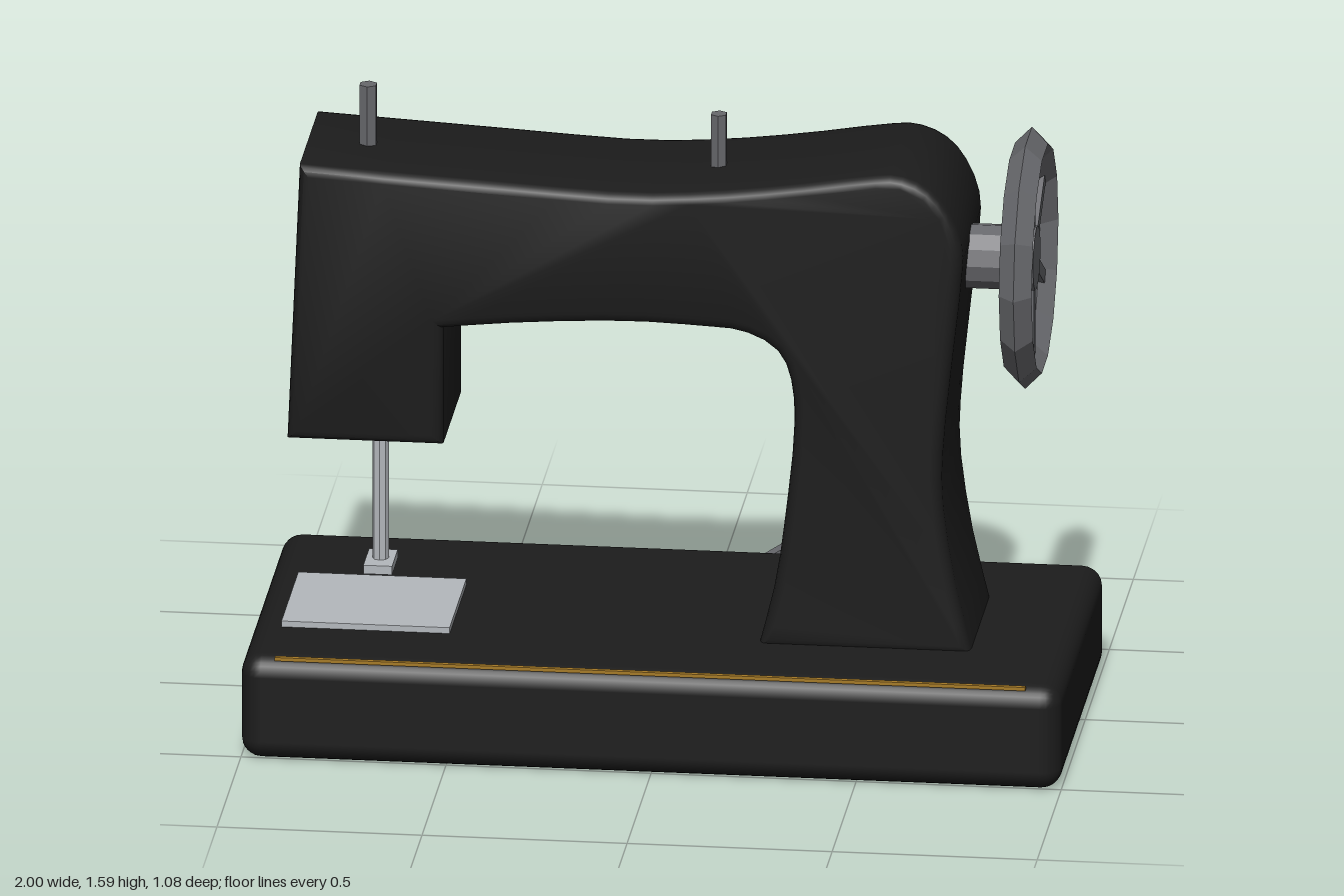
import * as THREE from 'three';
import { toCreasedNormals } from 'three/addons/utils/BufferGeometryUtils.js';
import { RoundedBoxGeometry } from 'three/addons/geometries/RoundedBoxGeometry.js';

const MID_Z = 0.07;

function makeMaterial(name, color, flat = false) {
  const m = new THREE.MeshStandardMaterial({ color, flatShading: flat });
  m.name = name;
  return m;
}

export function createModel() {
  const root = new THREE.Group();
  root.name = 'sewingMachine';
  const black = makeMaterial('blackEnamel', 0x1c1c1c);
  const iron = makeMaterial('greyIron', 0x68696d, true);
  const steel = makeMaterial('paleSteel', 0xb4b8bd, true);
  const gold = makeMaterial('goldTrim', 0xa67a26);

  const add = (name, geometry, material, x = 0, y = 0, z = 0, parent = root) => {
    const mesh = new THREE.Mesh(geometry, material);
    mesh.name = name;
    mesh.position.set(x, y, z);
    parent.add(mesh);
    return mesh;
  };
  const rod = (name, material, x, y0, y1, r, sides = 6) =>
    add(name, new THREE.CylinderGeometry(r, r, y1 - y0, sides), material, x, (y0 + y1) / 2, MID_Z);

  // Base slab with softened edges, and the gold line along its front
  add('base', new RoundedBoxGeometry(2, 0.265, 0.93, 3, 0.05), black, 0, 0.1325, 0.065);
  add('goldLine', new THREE.BoxGeometry(1.83, 0.009, 0.012), gold, 0, 0.2635, 0.517);

  // Body: head, arm and pillar in one side profile
  const vec = (pts) => pts.map(([x, y]) => new THREE.Vector2(x, y));
  const profile = new THREE.Shape();
  profile.moveTo(-0.885, 1.445);
  profile.lineTo(-0.915, 0.74);
  profile.lineTo(-0.535, 0.74);
  profile.lineTo(-0.535, 1.04);
  profile.splineThru(vec([[-0.35, 1.06], [-0.1, 1.075], [0.1, 1.07], [0.2, 1.06], [0.28, 1.015],
    [0.315, 0.93], [0.32, 0.8], [0.3, 0.6], [0.275, 0.42], [0.235, 0.255]]));
  profile.lineTo(0.755, 0.255);
  profile.splineThru(vec([[0.71, 0.45], [0.682, 0.65], [0.685, 0.8], [0.705, 1.0], [0.727, 1.2],
    [0.73, 1.3], [0.7, 1.385], [0.65, 1.445], [0.58, 1.475], [0.5, 1.472], [0.3, 1.44],
    [0.1, 1.416], [-0.1, 1.406], [-0.4, 1.42], [-0.885, 1.445]]));
  const bevel = 0.025;
  const bodyGeometry = new THREE.ExtrudeGeometry(profile, {
    depth: 0.42 - 2 * bevel, curveSegments: 2, bevelEnabled: true,
    bevelThickness: bevel, bevelSize: bevel, bevelOffset: -bevel, bevelSegments: 3,
  });
  bodyGeometry.translate(0, 0, -0.14 + bevel);
  add('body', toCreasedNormals(bodyGeometry, 0.7), black);

  // Hand wheel: diamond-section rim, six spokes and a hub
  const wheel = new THREE.Group();
  wheel.name = 'handWheel';
  wheel.position.set(0.87, 1.21, MID_Z);
  root.add(wheel);
  const rim = new THREE.TorusGeometry(0.28, 0.04, 4, 14);
  rim.rotateY(Math.PI / 2);
  add('rim', rim, iron, 0, 0, 0, wheel);
  for (let i = 0; i < 3; i++) {
    const spoke = add('spoke', new THREE.BoxGeometry(0.03, 0.52, 0.034), iron, 0, 0, 0, wheel);
    spoke.rotation.x = (i * Math.PI) / 3;
  }
  const hub = new THREE.CylinderGeometry(0.08, 0.08, 0.18, 12);
  hub.rotateZ(Math.PI / 2);
  add('hub', hub, iron, -0.07, 0, 0, wheel);

  // Pins on top of the arm
  rod('presserPin', iron, -0.74, 1.4, 1.59, 0.023);
  rod('spoolPin', iron, 0.115, 1.36, 1.55, 0.021);

  // Needle bar, presser foot and throat plate
  rod('needleBar', steel, -0.71, 0.36, 0.78, 0.02, 8);
  add('presserFoot', new THREE.BoxGeometry(0.07, 0.022, 0.12), steel, -0.71, 0.36, MID_Z);
  add('throatPlate', new THREE.BoxGeometry(0.41, 0.02, 0.35), steel, -0.72, 0.27, 0.122);

  // Cord trailing from the back of the pillar over the edge of the base
  const cord = new THREE.CatmullRomCurve3([
    [0.505, 0.47, -0.13], [0.5, 0.37, -0.225], [0.435, 0.305, -0.33], [0.34, 0.29, -0.41],
    [0.22, 0.245, -0.445], [0.11, 0.14, -0.48], [0, 0.03, -0.525],
  ].map((p) => new THREE.Vector3(...p)));
  add('cord', new THREE.TubeGeometry(cord, 10, 0.022, 6), iron);
  for (const t of [0, 1]) {
    const cap = add('cordEnd', new THREE.CircleGeometry(0.022, 6), iron);
    cap.position.copy(cord.getPoint(t));
    const out = cord.getTangent(t).multiplyScalar(t ? 1 : -1);
    cap.quaternion.setFromUnitVectors(new THREE.Vector3(0, 0, 1), out);
  }

  return root;
}
